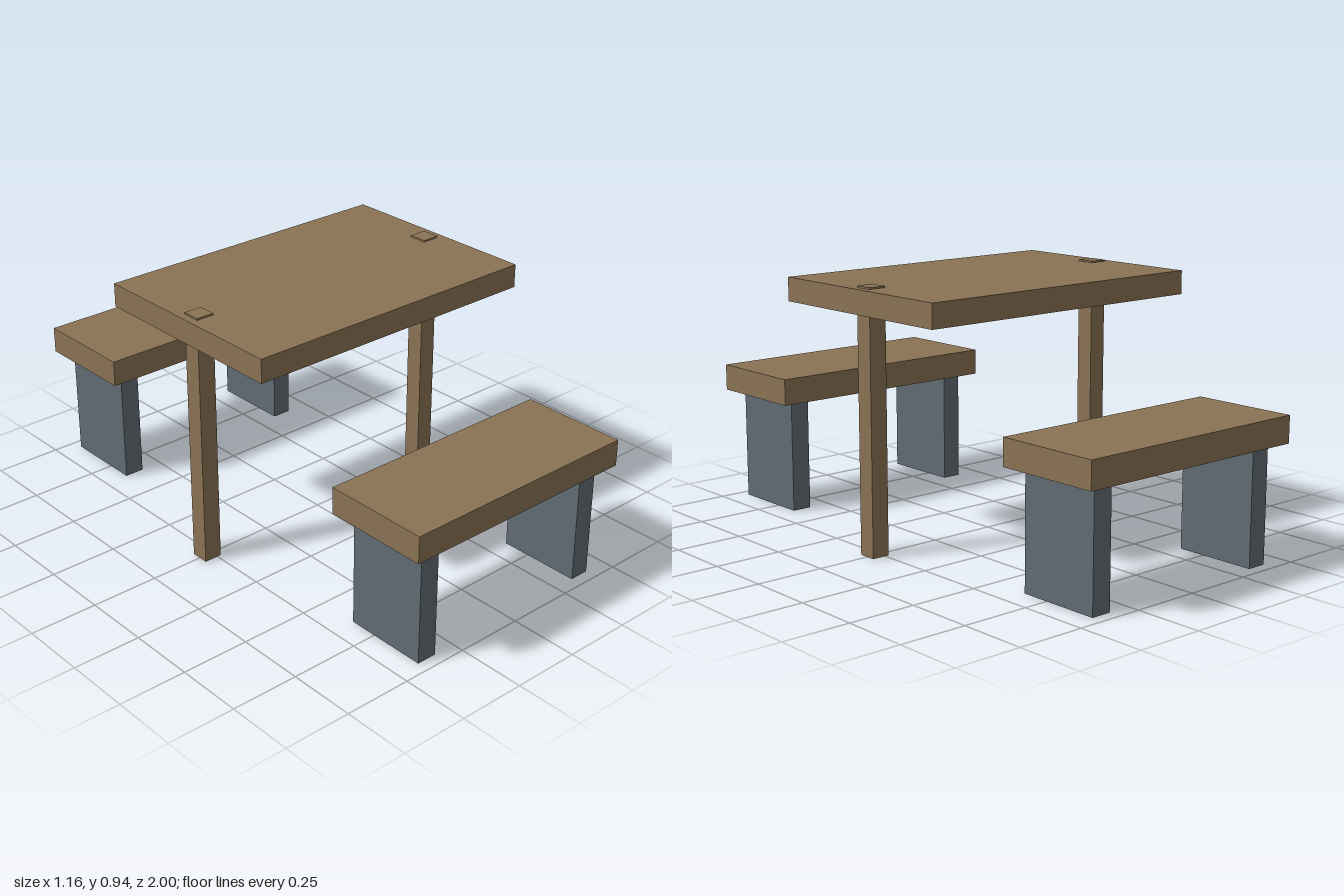
import * as THREE from 'three';

export function createModel() {
  const wood = new THREE.MeshStandardMaterial({ color: 0x8b7355 });
  wood.name = 'wood';
  const slate = new THREE.MeshStandardMaterial({ color: 0x606c73 });
  slate.name = 'slate';

  // Box of the given size whose underside sits at height y
  function slab(name, material, [w, h, d], [x, y, z]) {
    const mesh = new THREE.Mesh(new THREE.BoxGeometry(w, h, d), material);
    mesh.name = name;
    mesh.position.set(x, y + h / 2, z);
    return mesh;
  }

  const model = new THREE.Group();
  model.name = 'picnicTable';

  // Table: one thick top on two posts that poke slightly through it
  const table = new THREE.Group();
  table.name = 'table';
  table.add(slab('tableTop', wood, [1.161, 0.086, 0.793], [0, 0.848, 0]));
  for (const [side, s] of [['left', 1], ['right', -1]]) {
    table.add(slab(side + 'Post', wood, [0.067, 0.94, 0.068], [s * 0.519, 0, 0]));
  }
  model.add(table);

  // Matching benches in front and behind, each on two panel legs
  for (const [end, e] of [['front', 1], ['back', -1]]) {
    const bench = new THREE.Group();
    bench.name = end + 'Bench';
    bench.position.z = e * 0.802;
    bench.add(slab('seat', wood, [0.93, 0.098, 0.396], [0, 0.422, 0]));
    for (const [side, s] of [['left', 1], ['right', -1]]) {
      bench.add(slab(side + 'Leg', slate, [0.075, 0.422, 0.31], [s * 0.371, 0, 0]));
    }
    model.add(bench);
  }

  return model;
}
